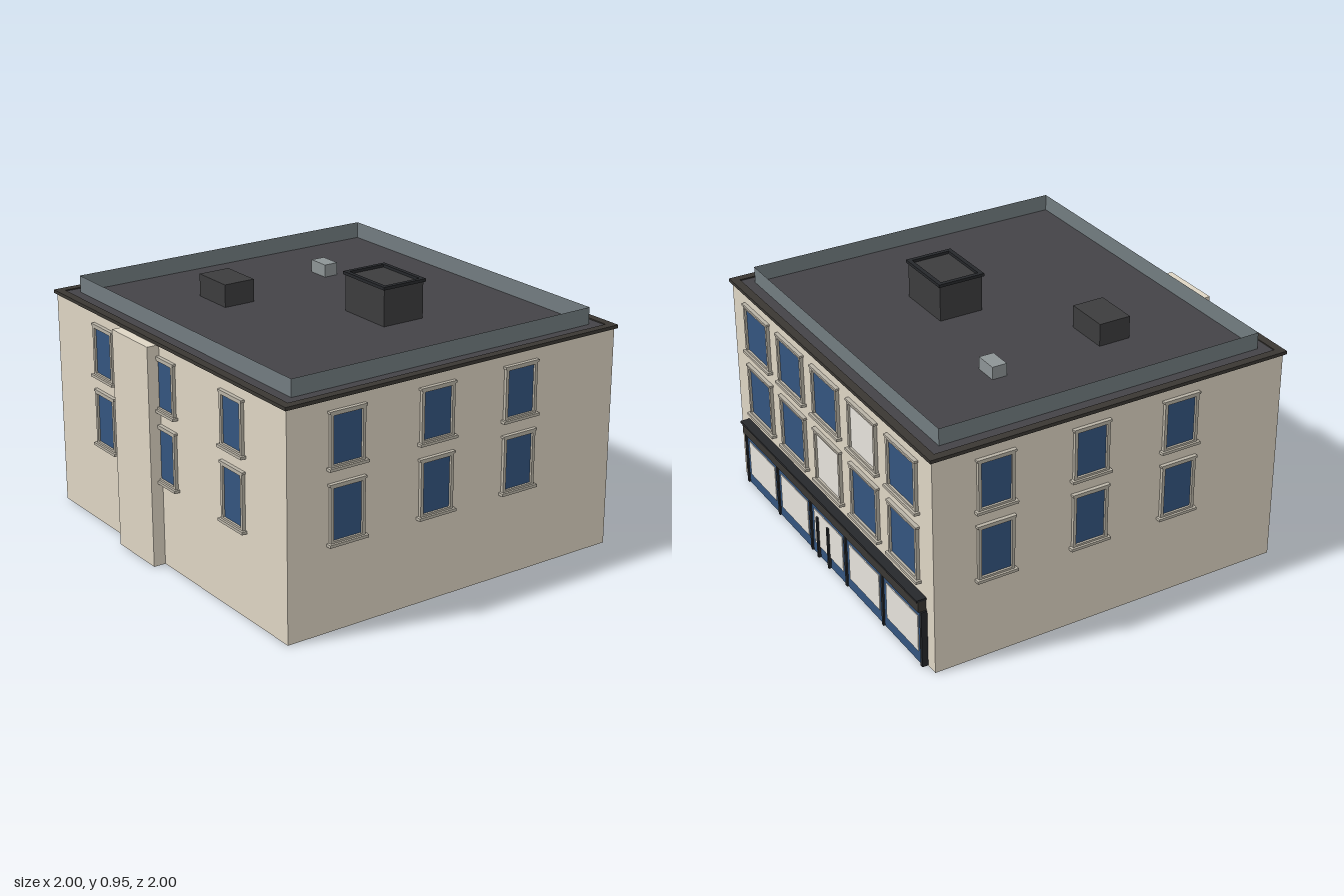
import * as THREE from 'three';

const W = 1.364, D = 1.464, H = 0.8; // cornice footprint and wall height
const LIP = 0.009;                   // cornice overhang

const mat = (color, side = THREE.FrontSide) => new THREE.MeshStandardMaterial({ color, side, flatShading: true });
const M = {
  wall: mat(0xded5c4), trim: mat(0xb9b3a6), cornice: mat(0x3a3733), roof: mat(0x444347),
  parapet: mat(0x727c80, THREE.DoubleSide), glass: mat(0x34557f), blind: mat(0xe6e3dc),
  chimney: mat(0x3c3c3d), dark: mat(0x26282b), vent: mat(0x8d9496),
};

// Box whose y is given at its underside
function box(parent, name, m, w, h, d, x, y, z) {
  const mesh = new THREE.Mesh(new THREE.BoxGeometry(w, h, d), m);
  mesh.name = name;
  mesh.position.set(x, y + h / 2, z);
  parent.add(mesh);
  return mesh;
}

// Flat rectangular ring, extruded along z
function ring(w, h, t, depth) {
  const rect = (P, a, b) => {
    const p = new P();
    p.moveTo(-a, -b); p.lineTo(a, -b); p.lineTo(a, b); p.lineTo(-a, b); p.closePath();
    return p;
  };
  const s = rect(THREE.Shape, w / 2, h / 2);
  s.holes.push(rect(THREE.Path, w / 2 - t, h / 2 - t));
  return new THREE.ExtrudeGeometry(s, { depth, bevelEnabled: false });
}

// Group lying on a facade: x runs left to right from outside, z points outwards
function facade(parent, name, angle, dist) {
  const g = new THREE.Group();
  g.name = name;
  g.rotation.y = angle;
  g.position.set(Math.sin(angle) * dist, 0, Math.cos(angle) * dist);
  parent.add(g);
  return g;
}

function addWindow(parent, x, y, w, h, pane) {
  const g = new THREE.Group();
  g.name = 'window';
  g.position.set(x, y, 0);
  box(g, 'pane', pane, w - 0.01, h - 0.01, 0.008, 0, 0.005, 0);
  const frame = new THREE.Mesh(ring(w + 0.012, h + 0.012, 0.011, 0.012), M.trim);
  frame.name = 'windowFrame';
  frame.position.y = h / 2;
  g.add(frame);
  box(g, 'sill', M.trim, w + 0.03, 0.01, 0.03, 0, -0.012, 0.005);
  box(g, 'lintel', M.trim, w + 0.022, 0.008, 0.024, 0, h + 0.002, 0.002);
  parent.add(g);
}

const ROWS = [[0.315, 0.19], [0.573, 0.175]]; // underside and height of each window row

export function createModel() {
  const root = new THREE.Group();
  root.name = 'building';
  const b = new THREE.Group();
  b.name = 'turnedBuilding';
  b.rotation.y = Math.PI / 4;
  root.add(b);

  // Body, roof and cornice
  const w = W - 2 * LIP, d = D - 2 * LIP;
  box(b, 'walls', M.wall, w, H - 0.006, d, 0, 0, 0);
  box(b, 'roof', M.roof, w - 0.01, 0.01, d - 0.01, 0, H - 0.006, 0);
  const cornice = new THREE.Mesh(ring(W, D, 0.03, 0.012), M.cornice);
  cornice.name = 'cornice';
  cornice.rotation.x = -Math.PI / 2;
  cornice.position.y = H - 0.004;
  b.add(cornice);

  // Thin upstand set in from the roof edge
  const inset = 0.07, top = 0.865, ph = top - H;
  for (let i = 0; i < 4; i++) {
    const across = i % 2 ? D : W, out = (i % 2 ? W : D) / 2 - inset;
    const p = new THREE.Mesh(new THREE.PlaneGeometry(across - 2 * inset, ph), M.parapet);
    p.name = 'parapet';
    p.rotation.y = i * Math.PI / 2;
    p.position.set(Math.sin(p.rotation.y) * out, H + ph / 2, Math.cos(p.rotation.y) * out);
    b.add(p);
  }

  // Roof fittings
  box(b, 'chimney', M.chimney, 0.166, 0.136, 0.222, 0.113, H, 0.17);
  const cap = new THREE.Mesh(ring(0.178, 0.234, 0.016, 0.011), M.dark);
  cap.name = 'chimneyCap';
  cap.rotation.x = -Math.PI / 2;
  cap.position.set(0.113, 0.935, 0.17);
  b.add(cap);
  box(b, 'roofHousing', M.chimney, 0.12, 0.086, 0.165, -0.23, H, -0.293);
  box(b, 'roofVent', M.vent, 0.055, 0.05, 0.085, 0.229, H, -0.346);

  // Two matching gable sides with three windows per floor
  for (const [name, angle] of [['frontFacade', 0], ['rearFacade', Math.PI]]) {
    const f = facade(b, name, angle, d / 2);
    for (const [y, h] of ROWS)
      for (const x of [-0.447, -0.091, 0.257]) addWindow(f, x, y, 0.122, h, M.glass);
  }

  // Side with the flat wall pier
  const side = facade(b, 'pierFacade', -Math.PI / 2, w / 2);
  for (const [y, h] of ROWS)
    for (const x of [-0.388, 0.015, 0.425]) addWindow(side, x, y, 0.115, h, M.glass);
  box(side, 'wallPier', M.wall, 0.23, H - 0.004, 0.045, -0.137, 0, 0.0225);

  // Shop side: five bays, two of the upper windows with blinds
  const shop = facade(b, 'shopFacade', Math.PI / 2, w / 2);
  const pitch = 0.265, mid = 0.008;
  for (let i = 0; i < 5; i++) {
    const x = mid + (i - 2) * pitch;
    ROWS.forEach(([y, h], r) => {
      const blind = (r === 0 && i === 2) || (r === 1 && i === 3);
      addWindow(shop, x, y, 0.178, h, blind ? M.blind : M.glass);
    });
    box(shop, 'shopBay', M.glass, pitch - 0.012, 0.212, 0.016, x, 0.001, 0.008);
    box(shop, 'shopWindow', M.blind, 0.215, 0.14, 0.006, x, 0.045, 0.016);
  }
  for (let i = 0; i < 6; i++)
    box(shop, 'bayPost', M.dark, 0.012, 0.215, 0.022, mid + (i - 2.5) * pitch, 0.001, 0.011);
  for (const x of [-0.068, 0.012])
    box(shop, 'doorPost', M.dark, 0.01, 0.165, 0.012, x, 0.001, 0.02);
  box(shop, 'shopFascia', M.cornice, 1.325, 0.045, 0.03, mid, 0.216, 0.015);
  box(shop, 'fasciaLedge', M.dark, 1.33, 0.008, 0.036, mid, 0.257, 0.018);

  return root;
}
